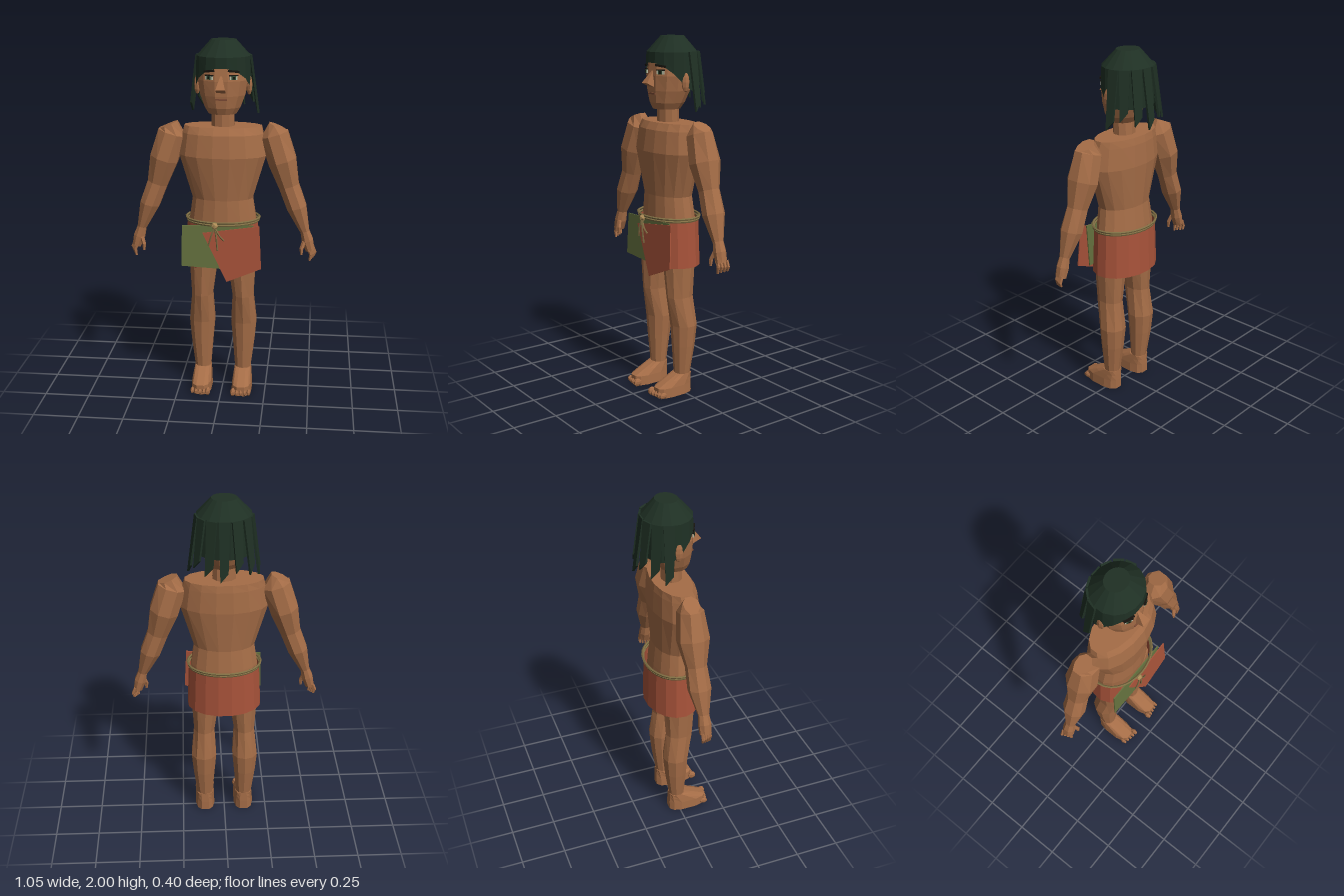
import * as THREE from 'three';

const paint = (name, color, side = THREE.FrontSide) => {
  const m = new THREE.MeshStandardMaterial({ color, side });
  m.name = name;
  return m;
};

// Stacked elliptical rings, listed top to bottom: [x, y, z, radiusX, radiusZ, tilt].
// square < 1 fills the corners of the ellipse; edgeY(angle) reshapes the last ring.
function loft(rings, n, { square = 1, edgeY = null } = {}) {
  const pos = [], idx = [];
  const pow = v => Math.sign(v) * Math.abs(v) ** square;
  rings.forEach(([x, y, z, rx, rz, tilt = 0], i) => {
    for (let j = 0; j < n; j++) {
      const a = (j + 0.5) / n * Math.PI * 2;
      const u = rx * pow(Math.cos(a)), v = rz * pow(Math.sin(a));
      const last = edgeY && i === rings.length - 1;
      pos.push(x + u * Math.cos(tilt), last ? edgeY(a) : y + u * Math.sin(tilt), z + v);
    }
  });
  const end = rings.length - 1, top = rings.length * n, bottom = top + 1;
  pos.push(...rings[0].slice(0, 3), ...rings[end].slice(0, 3));
  for (let j = 0; j < n; j++) {
    const k = (j + 1) % n;
    for (let i = 0; i < end; i++) {
      const a = i * n + j, b = i * n + k;
      idx.push(a, b, a + n, b, b + n, a + n);
    }
    idx.push(top, k, j);
    if (!edgeY) idx.push(bottom, end * n + j, end * n + k);
  }
  const g = new THREE.BufferGeometry();
  g.setAttribute('position', new THREE.Float32BufferAttribute(pos, 3));
  g.setIndex(idx);
  return g;
}

// Gives every face its own normal
function faceted(g) {
  const f = g.index ? g.toNonIndexed() : g;
  f.computeVertexNormals();
  return f;
}

const vec = p => new THREE.Vector3(...p);
const cord = (points, r, closed = false, seg = 10) =>
  new THREE.TubeGeometry(new THREE.CatmullRomCurve3(points.map(vec), closed), seg, r, 5, closed);

export function createModel() {
  const root = new THREE.Group();
  root.name = 'figure';
  const skin = paint('skin', 0xa56d47);
  const hair = paint('hair', 0x1f3024, THREE.DoubleSide);
  const red = paint('redCloth', 0xa8533a, THREE.DoubleSide);
  const green = paint('greenCloth', 0x66733f, THREE.DoubleSide);
  const rope = paint('rope', 0x7d6c42);
  const knotTan = paint('knotTan', 0xab8a55);
  const dark = paint('browDark', 0x17140f);
  const white = paint('eyeWhite', 0xb9bda5);
  const iris = paint('irisGreen', 0x2f4a32);
  const lip = paint('lip', 0x7c4a34);

  const add = (name, geometry, material, parent = root) => {
    const mesh = new THREE.Mesh(faceted(geometry), material);
    mesh.name = name;
    parent.add(mesh);
    return mesh;
  };
  const group = name => {
    const g = new THREE.Group();
    g.name = name;
    root.add(g);
    return g;
  };

  // Trunk, neck and head
  add('torso', loft([
    [0, 1.54, -0.005, 0.215, 0.103], [0, 1.5, 0.003, 0.225, 0.118], [0, 1.38, 0.008, 0.242, 0.13],
    [0, 1.14, 0.005, 0.17, 0.11], [0, 1.02, 0, 0.188, 0.118], [0, 0.9, -0.01, 0.19, 0.118],
    [0, 0.82, -0.01, 0.16, 0.1]], 16), skin);
  add('neck', loft([[0, 1.66, 0.005, 0.063, 0.055], [0, 1.52, 0.002, 0.066, 0.058]], 10), skin);
  add('head', loft([
    [0, 1.95, -0.02, 0.08, 0.07], [0, 1.87, -0.01, 0.13, 0.112], [0, 1.79, -0.002, 0.138, 0.116],
    [0, 1.71, 0, 0.125, 0.113], [0, 1.645, 0.01, 0.1, 0.095], [0, 1.61, 0.015, 0.078, 0.075]], 12), skin);

  // Face
  const nose = new THREE.CylinderGeometry(0.006, 0.036, 0.085, 4);
  nose.rotateY(Math.PI / 4);
  nose.rotateX(-0.45);
  add('nose', nose, skin).position.set(0, 1.78, 0.118);
  add('mouth', new THREE.BoxGeometry(0.062, 0.008, 0.008), lip).position.set(0, 1.695, 0.111);
  for (const s of [1, -1]) {
    const face = group(s > 0 ? 'leftEye' : 'rightEye');
    face.position.set(s * 0.065, 1.81, 0.099);
    face.rotation.y = s * 0.44;
    add('eyeball', new THREE.BoxGeometry(0.044, 0.02, 0.008), white, face);
    add('iris', new THREE.BoxGeometry(0.024, 0.02, 0.004), iris, face).position.z = 0.005;
    add('pupil', new THREE.BoxGeometry(0.01, 0.014, 0.003), dark, face).position.z = 0.007;
    add('upperLid', new THREE.BoxGeometry(0.05, 0.006, 0.009), dark, face).position.set(0, 0.012, 0.001);
    const brow = add('eyebrow', new THREE.BoxGeometry(0.062, 0.011, 0.009), dark, face);
    brow.position.set(0, 0.034, 0.001);
    brow.rotation.z = -s * 0.12;
    const ear = new THREE.SphereGeometry(1, 7, 6);
    ear.scale(0.017, 0.053, 0.024);
    add('ear', ear, skin).position.set(s * 0.141, 1.758, -0.01);
  }

  // Hair cap with a raised hairline over the face
  const hairline = a => {
    const f = Math.sin(a);
    return f > 0.75 ? 1.83 + (f - 0.75) * 0.12 : f > 0 ? 1.72 + f * 0.147 : 1.71;
  };
  add('hairCap', loft([
    [0, 2, -0.025, 0.068, 0.06], [0, 1.915, -0.022, 0.146, 0.134], [0, 1.75, -0.022, 0.151, 0.137]],
  16, { edgeY: hairline }), hair);
  // Loose locks fanned around the back
  for (let i = -3; i <= 3; i++) {
    const a = i * 0.44 + 0.03, len = 0.28 + 0.025 * ((i * 5 + 20) % 3 - 0.5);
    const g = new THREE.BoxGeometry(0.056, len, 0.012);
    const p = g.attributes.position;
    for (let k = 0; k < p.count; k++) {
      if (p.getY(k) > 0) continue;
      if (p.getX(k) > 0) p.setY(k, p.getY(k) + 0.05);
      p.setX(k, p.getX(k) * 0.75);
    }
    const lock = add('hairLock', g, hair);
    lock.rotation.set(-0.14, Math.PI - a, 0, 'YXZ');
    lock.position.set(Math.sin(a) * 0.168, 1.918 - len / 2, -0.025 - Math.cos(a) * 0.152);
  }

  for (const s of [1, -1]) {
    const side = s > 0 ? 'left' : 'right';
    // Arm and hand
    const arm = group(side + 'Arm');
    const bend = rows => rows.map(([x, y, z, rx, rz, t]) => [s * x, y, z, rx, rz, s * t]);
    add('armLimb', loft(bend([
      [0.298, 1.54, 0, 0.054, 0.045, -0.4], [0.279, 1.495, 0, 0.083, 0.07, 0.3],
      [0.326, 1.35, 0, 0.083, 0.088, 0.3], [0.365, 1.21, 0.002, 0.06, 0.058, 0.3],
      [0.41, 1.09, 0.006, 0.058, 0.064, 0.25], [0.457, 0.955, 0.012, 0.028, 0.032, 0.2]]), 8), skin, arm);
    add('hand', loft(bend([
      [0.457, 0.96, 0.012, 0.026, 0.03, 0.2], [0.474, 0.9, 0.013, 0.034, 0.036, 0.3],
      [0.49, 0.845, 0.014, 0.026, 0.034, 0.3]]), 8), skin, arm);
    for (let i = 0; i < 4; i++) {
      const z = 0.038 - i * 0.016, x = 0.482 + i * 0.007;
      add('finger', loft(bend([
        [x, 0.86, z, 0.011, 0.009, 0.3], [x + 0.014, 0.825, z, 0.011, 0.009, 0.2],
        [x + 0.007, 0.79 + i * 0.004, z, 0.007, 0.006, 0]]), 5), skin, arm);
    }
    add('thumb', loft(bend([
      [0.457, 0.9, 0.034, 0.014, 0.012, 0], [0.443, 0.86, 0.046, 0.012, 0.011, 0],
      [0.443, 0.825, 0.048, 0.007, 0.007, 0]]), 5), skin, arm);

    // Leg, foot and toes
    const leg = group(side + 'Leg');
    const x = s * 0.116;
    add('legLimb', loft([
      [s * 0.105, 0.92, 0, 0.085, 0.095], [s * 0.108, 0.76, 0.008, 0.081, 0.092],
      [x, 0.57, 0.008, 0.062, 0.08], [x + s * 0.004, 0.4, -0.017, 0.076, 0.075],
      [x + s * 0.004, 0.28, -0.015, 0.065, 0.065], [x, 0.1, -0.008, 0.046, 0.045]], 10), skin, leg);
    add('foot', loft([
      [x, 0.115, -0.008, 0.048, 0.048], [x, 0.088, 0.022, 0.052, 0.08],
      [x, 0.055, 0.056, 0.056, 0.116], [x, 0, 0.056, 0.058, 0.116]], 12, { square: 0.7 }), skin, leg);
    for (let i = 0; i < 5; i++) {
      const toe = new THREE.SphereGeometry(1, 6, 5);
      const r = i ? 0.0115 : 0.015;
      toe.scale(r, r * 1.6, 0.026);
      add('toe', toe, skin, leg).position.set(x + s * (i * 0.0225 - 0.044), r * 1.6, 0.17 - i * 0.004);
    }
  }

  // Wrapped cloth, open at the front
  const wrap = new THREE.CylinderGeometry(0.198, 0.21, 0.265, 13, 1, true, 0.72, Math.PI * 2 - 1.44);
  wrap.scale(1, 1, 0.735);
  add('backCloth', wrap, red).position.y = 0.882;
  // Overlapping front flaps
  const flap = (name, corners, z, lean, material) => {
    const shape = new THREE.Shape(corners.map(([x, y]) => new THREE.Vector2(x, y - 1)));
    const mesh = add(name, new THREE.ExtrudeGeometry(shape, { depth: 0.006, bevelEnabled: false }), material);
    mesh.position.set(0, 1, z);
    mesh.rotation.x = lean;
  };
  flap('greenFlap', [[-0.215, 1.0], [-0.22, 0.768], [0.15, 0.75], [0.18, 1.01]], 0.121, -0.04, green);
  flap('redFlap', [[-0.1, 0.965], [0.035, 0.69], [0.225, 0.77], [0.212, 1.01]], 0.136, -0.06, red);

  // Double rope belt, knot and hanging ends
  for (const [y, r] of [[1.024, 0.205], [1.01, 0.2]]) {
    const loop = [];
    for (let i = 0; i < 12; i++) {
      const a = i / 12 * Math.PI * 2;
      loop.push([r * Math.cos(a), y, r * 0.74 * Math.sin(a)]);
    }
    add('beltRope', cord(loop, 0.007, true, 28), rope);
  }
  add('knot', new THREE.IcosahedronGeometry(0.02, 0), knotTan).position.set(-0.03, 1.01, 0.155);
  for (const [x, y] of [[-0.065, 0.9], [-0.015, 0.87], [0.02, 0.93]]) {
    add('hangingCord', cord([[-0.03, 1.005, 0.16], [x * 0.5 - 0.015, 0.96, 0.165], [x, y, 0.16]], 0.005), rope);
  }
  return root;
}
